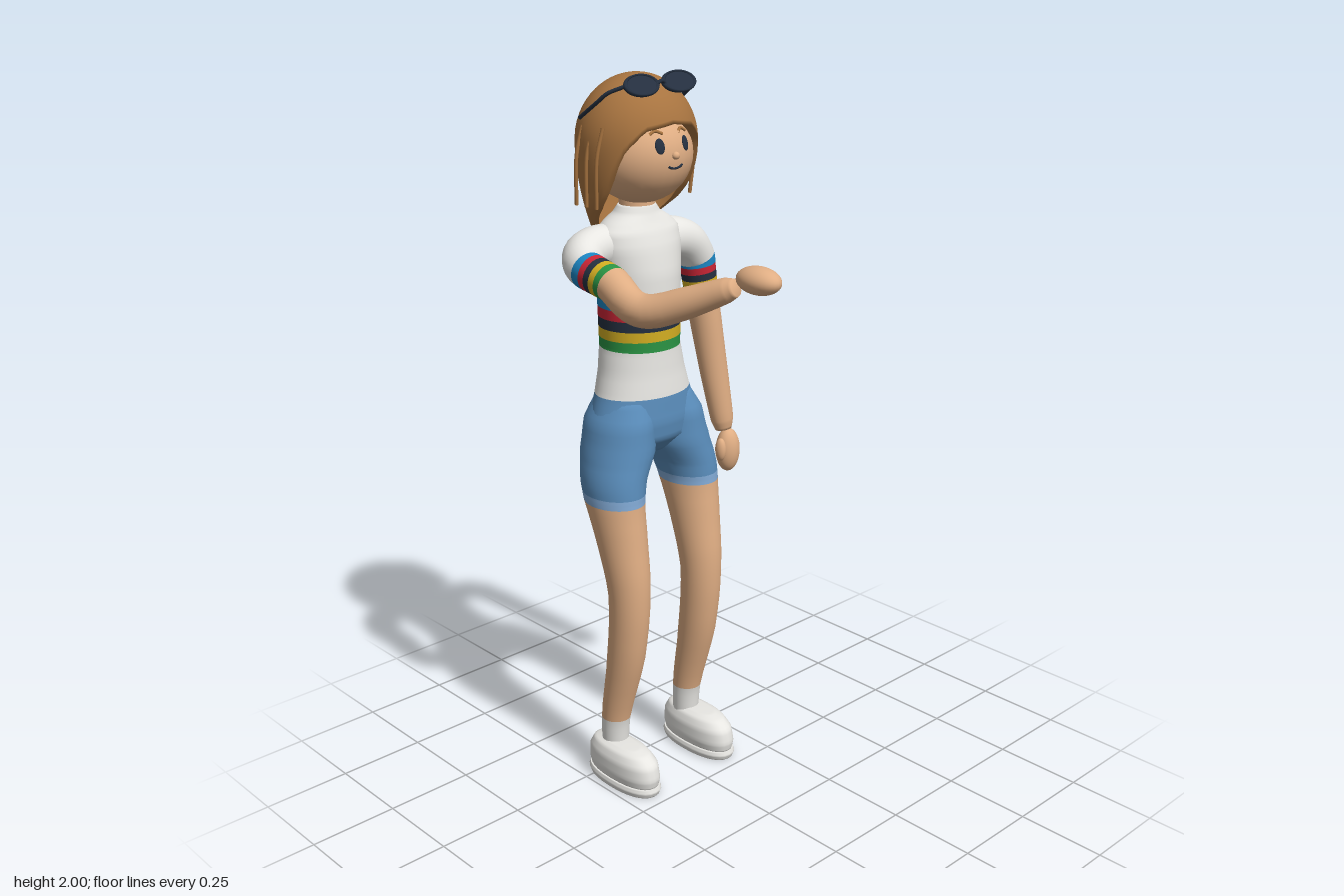
import * as THREE from 'three';

const colours = {
  skin: 0xe0ae84, hair: 0xa87440, white: 0xe8e7e3, shorts: 0x5a8dbb, hem: 0x83abd6,
  blue: 0x1c86c4, red: 0xcb2535, navy: 0x253040, yellow: 0xd3ae22, green: 0x2b9444,
};
const keys = Object.keys(colours);
const CX = -0.028; // midline of the body
const V = (x, y, z) => new THREE.Vector3(x, y, z);

// Five stripe stations running from station a towards station b
const stripes = (a, b) => ['blue', 'red', 'navy', 'yellow', 'green'].map((k, i) =>
  [...a.map((v, j) => v + (b[j] - v) * i / 5), k]);

// Skin through stations [x, y, z, r1, r2, colour of the stretch that follows].
// With ref the rings stand square to the path, without it they stay level.
function loft(stations, { ref = null, sides = 28, sub = 4, power = 2 } = {}) {
  const curve = new THREE.CatmullRomCurve3(stations.map(s => V(s[0], s[1], s[2])));
  const n = stations.length - 1, rows = n * sub, pos = [], idx = [];
  const geo = new THREE.BufferGeometry();
  const down = V(0, Math.sign(stations[n][1] - stations[0][1]), 0);
  const bend = c => Math.sign(c) * Math.abs(c) ** (2 / power);
  for (let j = 0; j <= rows; j++) {
    const p = curve.getPoint(j / rows);
    const t = ref ? curve.getTangent(j / rows) : down;
    const u = ref ? ref.clone().cross(t).normalize() : V(1, 0, 0);
    const v = t.clone().cross(u);
    const k = Math.min(n - 1, Math.floor(j / sub)), f = j / sub - k;
    const r = [3, 4].map(q => THREE.MathUtils.lerp(stations[k][q], stations[k + 1][q], f));
    for (let i = 0; i < sides; i++) {
      const a = i / sides * Math.PI * 2;
      pos.push(...p.clone().addScaledVector(u, r[0] * bend(Math.cos(a)))
        .addScaledVector(v, r[1] * bend(Math.sin(a))).toArray());
    }
  }
  const first = pos.length / 3;
  pos.push(...stations[0].slice(0, 3), ...stations[n].slice(0, 3));
  for (let j = 0; j < rows; j++) {
    const start = idx.length;
    for (let i = 0; i < sides; i++) {
      const i2 = (i + 1) % sides, a = j * sides + i, b = j * sides + i2;
      if (j === 0) idx.push(first, b, a);
      idx.push(a, b, a + sides, b, b + sides, a + sides);
      if (j === rows - 1) idx.push(a + sides, b + sides, first + 1);
    }
    geo.addGroup(start, idx.length - start, keys.indexOf(stations[Math.floor(j / sub)][5]));
  }
  geo.setAttribute('position', new THREE.Float32BufferAttribute(pos, 3));
  geo.setIndex(idx);
  geo.computeVertexNormals();
  return geo;
}

// Hair sheet: the lower edge rises over the face and falls at the back
function hairGeometry() {
  const N = 64, M = 22, top = 1.992, pos = [], idx = [];
  const edge = [[0, 1.875], [30, 1.862], [50, 1.81], [62, 1.75], [75, 1.695], [90, 1.655], [120, 1.6], [150, 1.57], [181, 1.56]];
  const edgeY = deg => {
    const k = edge.findIndex(e => e[0] > deg), [a, b] = [edge[k - 1], edge[k]];
    return THREE.MathUtils.mapLinear(deg, a[0], b[0], a[1], b[1]);
  };
  const width = y => y > 1.82 ? Math.sqrt(Math.max(0, 1 - ((y - 1.82) / 0.172) ** 2))
    : 1 - 0.32 * ((1.82 - y) / 0.26) ** 2;
  for (let i = 0; i < N; i++) {
    const deg = i / N * 360, a = deg * Math.PI / 180, low = edgeY(Math.min(deg, 360 - deg));
    for (let j = 0; j <= M + 1; j++) {
      const y = top - (top - low) * Math.min(1, j / M) ** 2;
      const s = width(y) * (j > M ? 0.83 : 1); // last row turns inwards
      pos.push(CX + 0.166 * s * Math.sin(a), y, -0.237 + 0.151 * s * Math.cos(a));
    }
  }
  for (let i = 0; i < N; i++) for (let j = 0; j <= M; j++) {
    const a = i * (M + 2) + j, b = ((i + 1) % N) * (M + 2) + j;
    idx.push(a, a + 1, b, b, a + 1, b + 1);
  }
  const geo = new THREE.BufferGeometry();
  geo.setAttribute('position', new THREE.Float32BufferAttribute(pos, 3));
  geo.setIndex(idx);
  geo.computeVertexNormals();
  return geo;
}

export function createModel() {
  const model = new THREE.Group();
  const mats = {};
  for (const k of keys) {
    mats[k] = new THREE.MeshStandardMaterial({ color: colours[k] });
    mats[k].name = k;
  }
  mats.hair.side = THREE.DoubleSide;
  const all = keys.map(k => mats[k]);
  const add = (name, geo, mat) => {
    const m = new THREE.Mesh(geo, mat);
    m.name = name;
    model.add(m);
    return m;
  };
  const ball = (name, mat, p, r) => {
    const m = add(name, new THREE.SphereGeometry(1, 28, 20), mat);
    m.position.set(...p);
    m.scale.set(...r);
    return m;
  };
  const tube = (name, mat, pts, r) =>
    add(name, new THREE.TubeGeometry(new THREE.CatmullRomCurve3(pts), 16, r, 8), mat);

  // Torso with striped shirt and hips
  add('torso', loft([
    [CX, 1.655, -0.24, 0.05, 0.05, 'white'], [CX, 1.635, -0.242, 0.066, 0.058, 'white'],
    [CX, 1.615, -0.243, 0.1, 0.068, 'white'], [CX, 1.59, -0.242, 0.128, 0.08, 'white'],
    [CX, 1.55, -0.24, 0.133, 0.092, 'white'], [CX, 1.48, -0.238, 0.122, 0.104, 'white'],
    ...stripes([CX, 1.415, -0.238, 0.116, 0.107], [CX, 1.275, -0.237, 0.113, 0.106]),
    [CX, 1.275, -0.237, 0.113, 0.106, 'white'], [CX, 1.21, -0.233, 0.126, 0.106, 'white'],
    [CX, 1.15, -0.23, 0.143, 0.11, 'shorts'], [CX, 1.08, -0.227, 0.17, 0.112, 'shorts'],
    [CX, 1.03, -0.222, 0.165, 0.1, 'shorts'], [CX, 0.985, -0.22, 0.05, 0.06, 'shorts'],
  ], { sides: 40 }), all);
  add('neck', new THREE.CylinderGeometry(0.045, 0.05, 0.12, 24), mats.skin).position.set(CX, 1.665, -0.24);

  // Legs with shorts, hems and socks, and shoes
  for (const [side, s] of [['right', -1], ['left', 1]]) {
    const leg = [
      [0.07, 1.14, -0.228, 0.068, 0.09, 'shorts'], [0.085, 1.08, -0.226, 0.09, 0.11, 'shorts'],
      [0.1, 1.0, -0.221, 0.096, 0.112, 'shorts'], [0.128, 0.93, -0.208, 0.083, 0.103, 'shorts'],
      [0.135, 0.89, -0.2, 0.078, 0.098, 'hem'], [0.137, 0.865, -0.195, 0.076, 0.094, 'skin'],
      [0.137, 0.75, -0.167, 0.067, 0.076, 'skin'], [0.136, 0.6, -0.142, 0.057, 0.061, 'skin'],
      [0.137, 0.4, -0.16, 0.051, 0.058, 'skin'], [0.139, 0.19, -0.207, 0.041, 0.042, 'white'],
      [0.139, 0.09, -0.213, 0.037, 0.038, 'white'],
    ].map(([x, ...rest]) => [CX + s * x, ...rest]);
    add(side + 'Leg', loft(leg), all);
    const x = CX + s * 0.147;
    add(side + 'Shoe', loft([
      [x, 0.122, -0.18, 0.028, 0.07, 'white'], [x, 0.113, -0.175, 0.046, 0.105, 'white'],
      [x, 0.088, -0.168, 0.058, 0.127, 'white'], [x, 0.05, -0.165, 0.06, 0.133, 'white'],
      [x, 0.024, -0.165, 0.054, 0.128, 'white'],
    ], { power: 2.3 }), all);
    add(side + 'Sole', loft([
      [x, 0.026, -0.165, 0.058, 0.132, 'white'], [x, 0.014, -0.165, 0.062, 0.136, 'white'],
      [x, 0, -0.165, 0.058, 0.13, 'white'],
    ], { power: 2.3 }), all);
  }

  // Hanging left arm
  add('leftArm', loft([
    [0.02, 1.545, -0.243, 0.06, 0.06, 'white'], [0.09, 1.546, -0.243, 0.058, 0.06, 'white'],
    [0.15, 1.523, -0.243, 0.057, 0.057, 'white'],
    ...stripes([0.189, 1.475, -0.243, 0.051, 0.052], [0.203, 1.38, -0.239, 0.047, 0.048]),
    [0.203, 1.38, -0.239, 0.047, 0.048, 'skin'], [0.215, 1.28, -0.23, 0.044, 0.045, 'skin'],
    [0.232, 1.13, -0.214, 0.041, 0.037, 'skin'], [0.248, 1.0, -0.2, 0.034, 0.031, 'skin'],
    [0.251, 0.97, -0.197, 0.025, 0.023, 'skin'],
  ], { ref: V(0, 0, 1) }), all);
  ball('leftHand', mats.skin, [0.26, 0.905, -0.188], [0.037, 0.065, 0.033]);
  ball('leftThumb', mats.skin, [0.224, 0.915, -0.18], [0.015, 0.034, 0.017]);

  // Right arm reaching forward
  add('rightArm', loft([
    [-0.08, 1.55, -0.243, 0.058, 0.06, 'white'], [-0.15, 1.553, -0.258, 0.058, 0.058, 'white'],
    [-0.2, 1.545, -0.248, 0.057, 0.056, 'white'], [-0.234, 1.53, -0.216, 0.053, 0.053, 'white'],
    ...stripes([-0.245, 1.52, -0.183, 0.05, 0.05], [-0.248, 1.502, -0.085, 0.047, 0.047]),
    [-0.248, 1.502, -0.085, 0.047, 0.047, 'skin'], [-0.258, 1.465, 0, 0.043, 0.044, 'skin'],
    [-0.247, 1.459, 0.05, 0.042, 0.043, 'skin'], [-0.206, 1.49, 0.14, 0.039, 0.04, 'skin'],
    [-0.163, 1.532, 0.235, 0.032, 0.031, 'skin'], [-0.156, 1.542, 0.26, 0.022, 0.022, 'skin'],
  ], { ref: V(0, 1, 0) }), all);
  ball('rightHand', mats.skin, [-0.143, 1.568, 0.323], [0.042, 0.034, 0.065]);
  ball('rightThumb', mats.skin, [-0.106, 1.565, 0.3], [0.015, 0.017, 0.032]);

  // Head and face
  const hc = [CX, 1.788, -0.225], hr = [0.14, 0.128, 0.138];
  ball('head', mats.skin, hc, hr);
  const onFace = (x, y, lift = 0) => V(CX + x, y,
    hc[2] + hr[2] * Math.sqrt(1 - (x / hr[0]) ** 2 - ((y - hc[1]) / hr[1]) ** 2) + lift);
  ball('nose', mats.skin, onFace(0, 1.797).toArray(), [0.011, 0.01, 0.01]);
  for (const s of [-1, 1]) {
    const eye = ball('eye', mats.navy, onFace(s * 0.043, 1.823).toArray(), [0.013, 0.02, 0.004]);
    eye.rotation.set(-0.27, s * 0.33, 0);
    tube('eyebrow', mats.hair, [[0.026, 1.852], [0.043, 1.859], [0.061, 1.851]]
      .map(([x, y]) => onFace(s * x, y, 0.001)), 0.004);
  }
  tube('mouth', mats.navy, [[-0.024, 1.772], [-0.012, 1.766], [0.012, 1.766], [0.024, 1.772]]
    .map(([x, y]) => onFace(x, y)), 0.003);

  // Hair with loose strands at the sides
  add('hair', hairGeometry(), mats.hair);
  for (const s of [-1, 1]) for (let i = 0; i < 3; i++) {
    const z = -0.19 - i * 0.04;
    tube('hairStrand', mats.hair, [V(CX + s * 0.152, 1.87, z), V(CX + s * 0.168, 1.79, z - 0.008),
      V(CX + s * 0.162, 1.665, z - 0.02)], 0.005);
  }

  // Sunglasses pushed up on the head
  for (const s of [-1, 1]) {
    const lens = new THREE.Group();
    lens.name = 'sunglassLens';
    const glass = new THREE.Mesh(new THREE.CylinderGeometry(0.052, 0.052, 0.006, 32), mats.navy);
    glass.rotation.x = Math.PI / 2;
    const rim = new THREE.Mesh(new THREE.TorusGeometry(0.052, 0.006, 8, 32), mats.navy);
    glass.name = 'lens';
    rim.name = 'rim';
    lens.add(glass, rim);
    lens.scale.y = 0.53;
    lens.position.set(CX + s * 0.063, 1.971, -0.143);
    lens.rotation.x = -0.57;
    model.add(lens);
    tube('sunglassArm', mats.navy, [V(CX + s * 0.116, 1.972, -0.147), V(CX + s * 0.143, 1.955, -0.18),
      V(CX + s * 0.151, 1.935, -0.205), V(CX + s * 0.154, 1.887, -0.278)], 0.005);
  }
  tube('sunglassBridge', mats.navy, [V(CX - 0.014, 1.971, -0.141), V(CX, 1.978, -0.138), V(CX + 0.014, 1.971, -0.141)], 0.005);
  return model;
}
